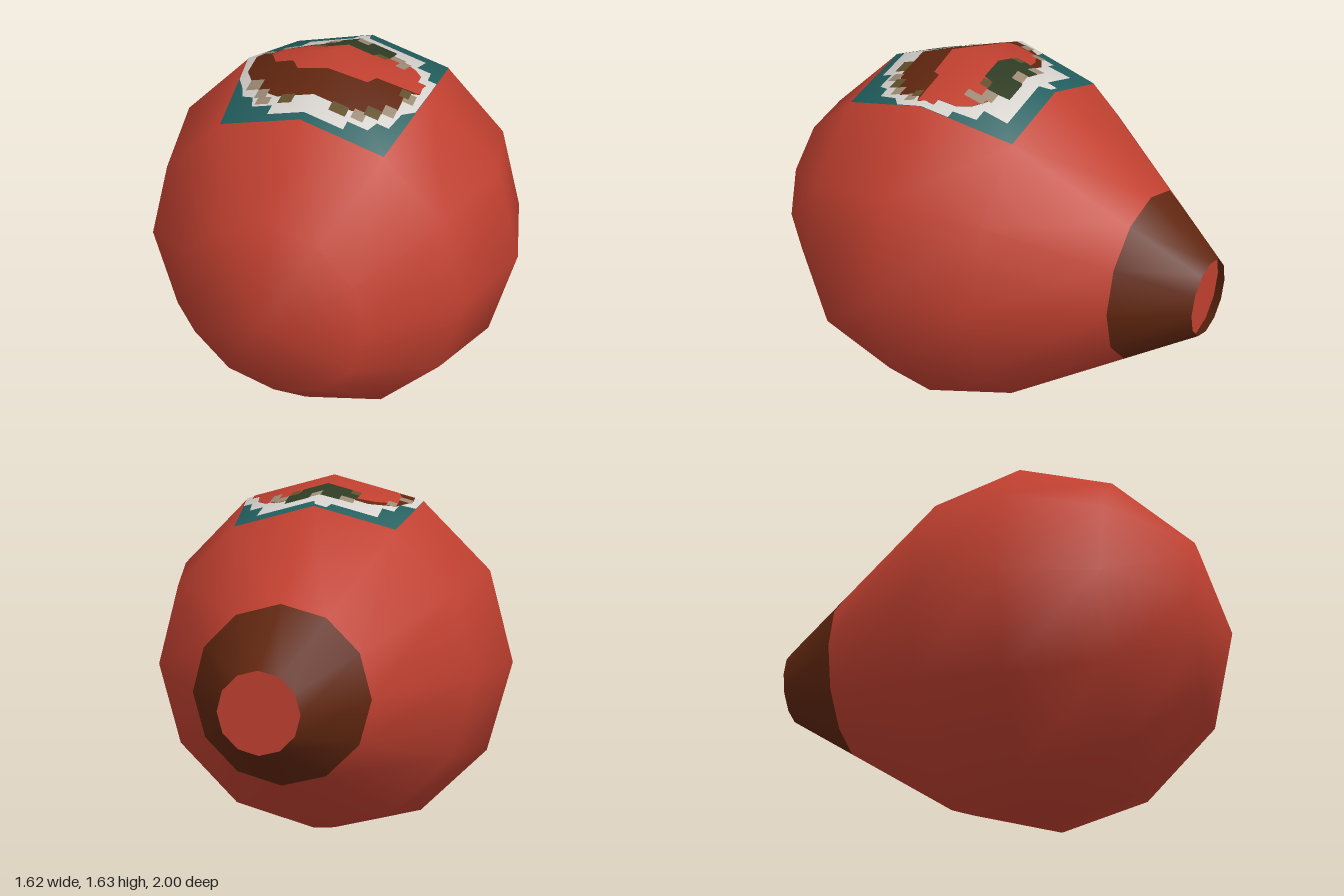
import * as THREE from 'three';
import { mergeGeometries } from 'three/addons/utils/BufferGeometryUtils.js';

const SIDES = 12, R = 0.81, CY = 0.81, CZ = 0.158;

const mat = (name, color, side = THREE.FrontSide) => {
  const m = new THREE.MeshStandardMaterial({ color, side });
  m.name = name;
  return m;
};

// Smooth loft through rings [z, radius, centre x, centre y], listed front to back.
// Bands from index `split` on use the second material.
function loft(rings, split) {
  const pos = [], index = [];
  for (const [z, r, cx, cy] of rings) {
    for (let i = 0; i < SIDES; i++) {
      const a = (i / SIDES) * Math.PI * 2;
      pos.push(cx + r * Math.cos(a), cy + r * Math.sin(a), z);
    }
  }
  for (let k = 0; k < rings.length - 1; k++) {
    for (let i = 0; i < SIDES; i++) {
      const j = (i + 1) % SIDES;
      const a = k * SIDES + i, b = k * SIDES + j, c = a + SIDES, d = b + SIDES;
      if (rings[k][1] > 0) index.push(a, d, b);
      index.push(a, c, d);
    }
  }
  const g = new THREE.BufferGeometry();
  g.setAttribute('position', new THREE.Float32BufferAttribute(pos, 3));
  g.setIndex(index);
  g.computeVertexNormals();
  for (let i = 0; i < SIDES; i++) g.attributes.normal.setXYZ(i, 0, 0, 1);
  // The front tip has one triangle per side, every other band has two
  const cut = SIDES * 3 + (split - 1) * SIDES * 6;
  g.addGroup(0, cut, 0);
  g.addGroup(cut, index.length - cut, 1);
  return g;
}

// Keep the part of a polygon where sign * (p[axis] - at) >= 0
function clip(poly, axis, at, sign) {
  const out = [];
  poly.forEach((p, i) => {
    const q = poly[(i + 1) % poly.length];
    const dp = sign * (p[axis] - at), dq = sign * (q[axis] - at);
    if (dp >= 0) out.push(p);
    if (dp * dq < 0) {
      const t = dp / (dp - dq);
      out.push([p[0] + (q[0] - p[0]) * t, p[1] + (q[1] - p[1]) * t]);
    }
  });
  return out;
}

// Lay flat [x, z] outlines over the four facets on the crown
function drape(polys, lift) {
  const parts = [];
  for (const poly of polys) for (const sx of [-1, 1]) for (const sz of [-1, 1]) {
    const piece = clip(clip(poly, 0, 0, sx), 1, CZ, sz);
    if (piece.length < 3) continue;
    const g = new THREE.ShapeGeometry(new THREE.Shape(piece.map(([x, z]) => new THREE.Vector2(x, -z))));
    g.rotateX(-Math.PI / 2);
    const p = g.attributes.position, n = g.attributes.normal, v = new THREE.Vector3();
    for (let i = 0; i < p.count; i++) {
      const x = p.getX(i), z = p.getZ(i);
      p.setY(i, CY + R - 0.268 * Math.abs(x) - 0.275 * Math.abs(z - CZ) + lift);
      v.set(x, p.getY(i) - CY, z - CZ).normalize();
      n.setXYZ(i, v.x, v.y, v.z);
    }
    parts.push(g);
  }
  return mergeGeometries(parts);
}

const box = (x0, z0, x1, z1) => [[x0, z0], [x1, z0], [x1, z1], [x0, z1]];

export function createModel() {
  const model = new THREE.Group();
  const red = mat('red', 0xc04030);
  const brown = mat('brown', 0x60260f, THREE.DoubleSide);
  const teal = mat('teal', 0x235f5f);
  const white = mat('offWhite', 0xd6d2cd);
  const green = mat('darkGreen', 0x2f3c24);
  const tan = mat('tan', 0x9c8a74);
  const olive = mat('olive', 0x62502c);
  const add = (name, geometry, material) => {
    const m = new THREE.Mesh(geometry, material);
    m.name = name;
    model.add(m);
    return m;
  };

  // Round body tapering into a slightly off-centre neck
  const neck = (z) => {
    const t = (z + 0.24) / -0.76;
    return [z, 0.7 + (0.166 - 0.7) * t, 0.036 * t, CY - 0.038 * t];
  };
  add('bodyAndNeck', loft([
    [1, 0, 0, CY], [0.882, 0.405, 0, CY], [0.555, 0.7015, 0, CY], [CZ, R, 0, CY],
    neck(-0.24), neck(-0.71), neck(-1),
  ], 5), [red, brown]);

  // Recessed plug inside the neck opening
  const [pz, pr, px, py] = neck(-0.955);
  const plug = add('neckPlug', new THREE.CircleGeometry(pr, SIDES), red);
  plug.position.set(px, py, pz);
  plug.rotation.y = Math.PI;

  // Painted patch on the crown, one thin layer per colour
  add('patchBase', drape([[[-0.35, -0.24], [0.35, -0.24], [0.405, CZ], [0.35, 0.555],
    [-0.35, 0.555], [-0.405, CZ]]], 0.002), teal);

  add('patchBorder', drape([[
    [-0.05, -0.22], [0, -0.22], [0.015, -0.17], [0.27, -0.17], [0.27, -0.06], [0.33, -0.06],
    [0.35, 0.04], [0.388, 0.04], [0.405, CZ], [0.385, 0.29], [0.34, 0.33], [0.32, 0.42],
    [0.27, 0.42], [0.25, 0.47], [0.165, 0.47], [0.165, 0.515], [-0.16, 0.515], [-0.16, 0.465],
    [-0.25, 0.465], [-0.27, 0.41], [-0.32, 0.4], [-0.35, 0.34], [-0.385, 0.29], [-0.405, CZ],
    [-0.388, 0.04], [-0.32, 0.03], [-0.31, -0.06], [-0.26, -0.06], [-0.26, -0.17], [-0.06, -0.17],
  ]], 0.0035), white);

  add('patchShade', drape([[
    [-0.365, 0.1], [-0.31, 0], [-0.2, -0.06], [-0.12, -0.06], [0.2, -0.06], [0.28, -0.01],
    [0.32, 0.04], [0.335, 0.12], [0.37, 0.12], [0.37, 0.2], [0.32, 0.22], [0.32, 0.32],
    [0.27, 0.37], [0.16, 0.415], [-0.16, 0.415], [-0.26, 0.37], [-0.32, 0.31], [-0.365, 0.25],
  ]], 0.005), brown);

  add('patchCentre', drape([[
    [-0.31, 0.03], [-0.22, -0.02], [-0.14, -0.04], [0.2, -0.06], [0.28, -0.01], [0.32, 0.04],
    [0.335, 0.12], [0.37, 0.12], [0.37, 0.2], [0.19, 0.21], [0.165, 0.25], [0, 0.265],
    [-0.14, 0.25], [-0.18, 0.2], [-0.26, 0.2], [-0.31, 0.13],
  ]], 0.0065), red);

  add('patchLeaf', drape([[
    [-0.14, -0.06], [-0.08, -0.11], [0, -0.115], [0.03, -0.08], [0.055, -0.115], [0.16, -0.115],
    [0.17, -0.01], [0.12, -0.01], [0.11, 0.035], [-0.11, 0.035], [-0.15, -0.01],
  ]], 0.008), green);

  add('patchTanSpots', drape([
    box(0.165, -0.065, 0.22, -0.01), box(0.21, -0.04, 0.25, 0.05), box(-0.14, -0.11, -0.08, -0.06),
    box(0, -0.11, 0.05, -0.06), box(-0.31, -0.02, -0.27, 0.03), box(-0.365, 0.07, -0.31, 0.11),
    box(-0.32, 0.31, -0.26, 0.37), box(-0.26, 0.37, -0.21, 0.42), box(-0.24, 0.42, -0.18, 0.46),
    box(0.32, 0.22, 0.365, 0.27), box(0.27, 0.32, 0.32, 0.37), box(0.17, 0.4, 0.22, 0.45),
  ], 0.0085), tan);

  add('patchOliveSpots', drape([
    box(0.12, -0.01, 0.16, 0.03), box(-0.15, -0.01, -0.11, 0.03), box(0.21, 0.36, 0.27, 0.41),
    box(0.08, 0.41, 0.15, 0.46), box(-0.14, 0.41, -0.08, 0.46), box(0.3, 0.21, 0.34, 0.25),
  ], 0.009), olive);

  return model;
}
